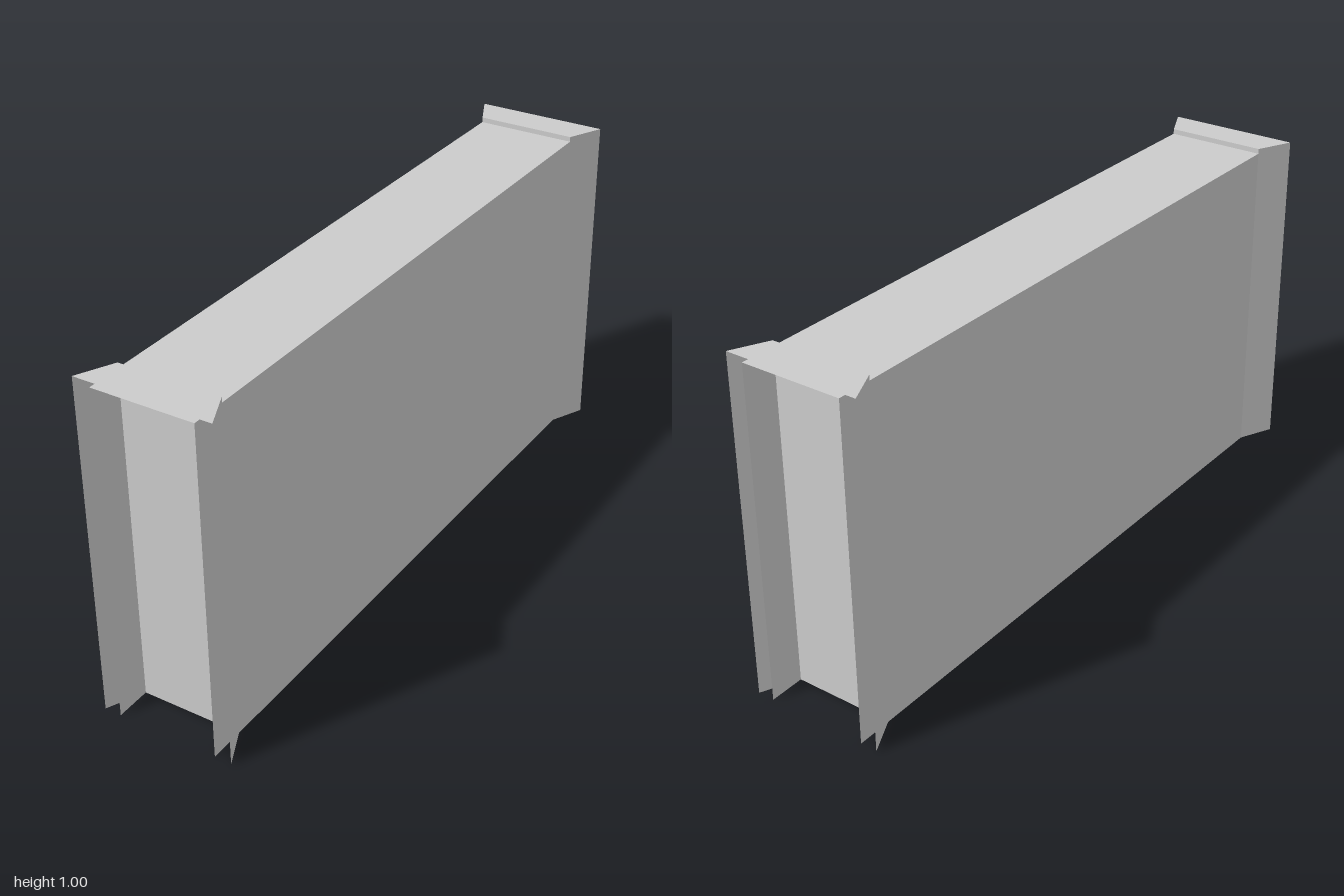
import * as THREE from 'three';

const HALF_W = 0.15;    // half width of the channel
const FLARE_W = 0.2;    // half width at the flared ends
const ROOF = 0.985;     // channel height
const TOP = 1;          // end cap height
const END = 1;          // half length
const NECK = 0.895;     // where the flare begins

export function createModel() {
  const group = new THREE.Group();
  const material = new THREE.MeshStandardMaterial({
    color: 0xcccccc, flatShading: true, side: THREE.DoubleSide,
  });

  const add = (name, geometry, parent) => {
    const mesh = new THREE.Mesh(geometry, material);
    mesh.name = name;
    parent.add(mesh);
    return mesh;
  };

  // Upright sheet standing on the ground between two plan points [x, z]
  const wall = (name, [x0, z0], [x1, z1], height, parent) => {
    const dx = x1 - x0, dz = z1 - z0;
    const mesh = add(name, new THREE.PlaneGeometry(Math.hypot(dx, dz), height), parent);
    mesh.position.set((x0 + x1) / 2, height / 2, (z0 + z1) / 2);
    mesh.rotation.y = Math.atan2(-dz, dx);
  };

  // Channel: two long sides and a roof, open below and at both ends
  wall('leftSide', [HALF_W, END], [HALF_W, -END], ROOF, group);
  wall('rightSide', [-HALF_W, -END], [-HALF_W, END], ROOF, group);
  const roof = add('roof', new THREE.PlaneGeometry(HALF_W * 2, END * 2).rotateX(-Math.PI / 2), group);
  roof.position.y = ROOF;

  // Inner cross wall, a little behind the middle
  wall('partition', [HALF_W, -0.095], [-HALF_W, -0.095], ROOF, group);

  // Flared end frames: recessed wall, two splayed cheeks and a cap
  const capShape = new THREE.Shape([
    new THREE.Vector2(-HALF_W, -NECK), new THREE.Vector2(-FLARE_W, -END),
    new THREE.Vector2(FLARE_W, -END), new THREE.Vector2(HALF_W, -NECK),
  ]);
  for (const [name, turn] of [['frontEnd', 0], ['backEnd', Math.PI]]) {
    const end = new THREE.Group();
    end.name = name;
    wall('endWall', [-HALF_W, NECK], [HALF_W, NECK], TOP, end);
    wall('leftFlare', [FLARE_W, END], [HALF_W, NECK], TOP, end);
    wall('rightFlare', [-HALF_W, NECK], [-FLARE_W, END], TOP, end);
    const cap = add('cap', new THREE.ShapeGeometry(capShape).rotateX(-Math.PI / 2), end);
    cap.position.y = TOP;
    end.rotation.y = turn;
    group.add(end);
  }
  return group;
}
